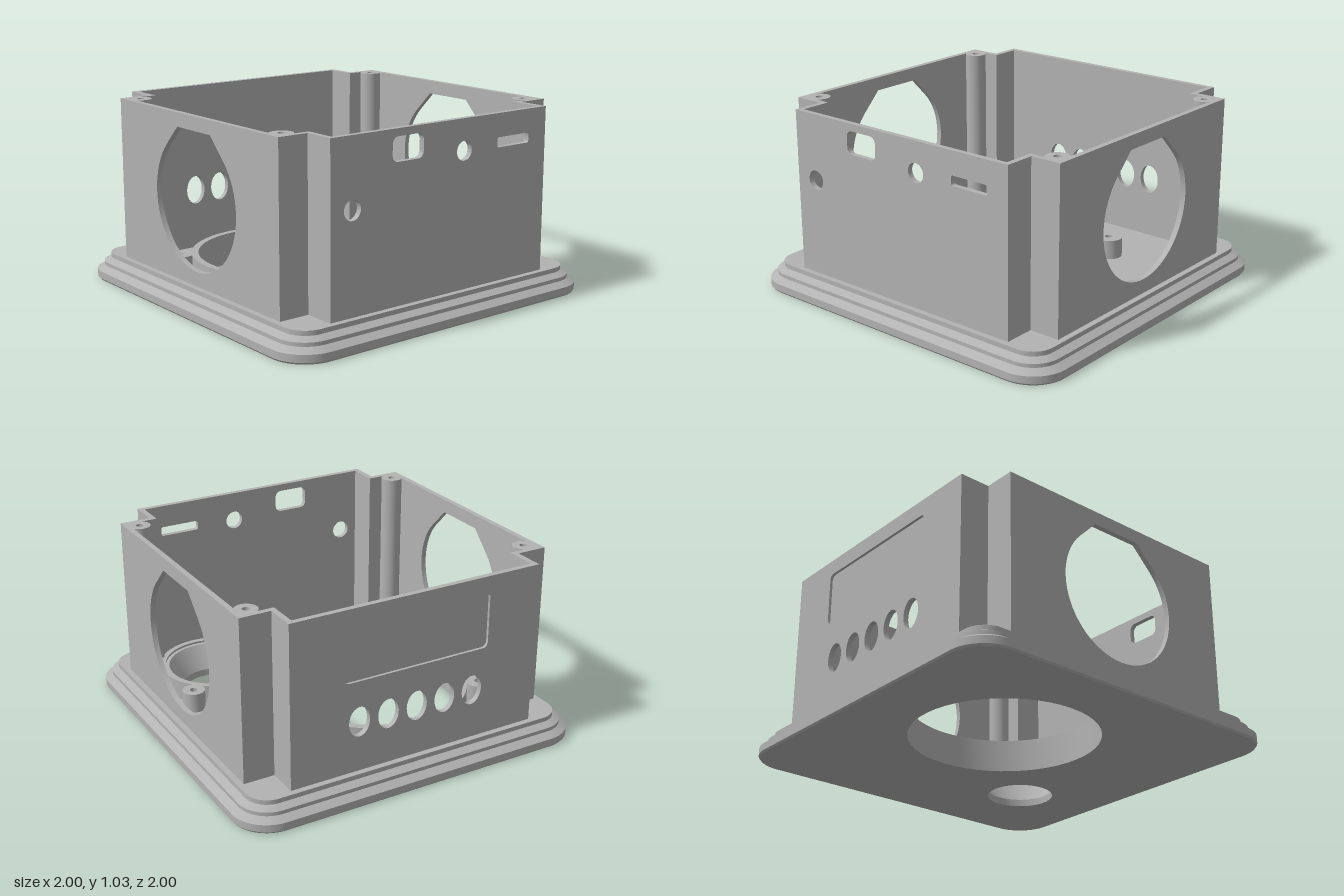
import * as THREE from 'three';
import { toCreasedNormals } from 'three/addons/utils/BufferGeometryUtils.js';

const FLOOR = 0.07, DECK = 0.14, TOP = 1.03, RING = 0.18;
const OUT = 0.89, IN = 0.86, NOTCH = 0.72, NOTCH_IN = 0.69;
const BIG = { x: -0.18, z: -0.155, r: 0.503 };
const SMALL = { x: 0.455, z: 0.5, r: 0.185 };

// Rounded rectangle centred on (cx, cy); also works as a hole
function roundedRect(cx, cy, w, h, r, Type = THREE.Path) {
  const p = new Type(), x = w / 2 - r, y = h / 2 - r, q = Math.PI / 2;
  p.absarc(cx + x, cy - y, r, -q, 0);
  p.absarc(cx + x, cy + y, r, 0, q);
  p.absarc(cx - x, cy + y, r, q, 2 * q);
  p.absarc(cx - x, cy - y, r, 2 * q, 3 * q);
  p.closePath();
  return p;
}

function ellipse(cx, cy, rx, ry = rx) {
  return new THREE.Path().absellipse(cx, cy, rx, ry, 0, Math.PI * 2);
}

const square = (half, r) => roundedRect(0, 0, half * 2, half * 2, r, THREE.Shape);

// Stepped side of the plinth, lofted through rounded squares of [half size, y]
function loftSkin(levels) {
  const pos = [], index = [];
  const rings = levels.map(([half]) => square(half, 0.2 - (1 - half)).getPoints(10));
  const n = rings[0].length;
  rings.forEach((ring, k) => ring.forEach(p => pos.push(p.x, levels[k][1], -p.y)));
  for (let k = 0; k < rings.length - 1; k++) {
    for (let i = 0; i < n; i++) {
      const a = k * n + i, b = k * n + (i + 1) % n;
      index.push(a, b, b + n, a, b + n, a + n);
    }
  }
  const g = new THREE.BufferGeometry();
  g.setAttribute('position', new THREE.Float32BufferAttribute(pos, 3));
  g.setIndex(index);
  return toCreasedNormals(g, 0.4);
}

function lathe(points, segments = 48) {
  const g = new THREE.LatheGeometry(points.map(p => new THREE.Vector2(...p)), segments);
  return toCreasedNormals(g, 0.4);
}

export function createModel() {
  const model = new THREE.Group();
  model.name = 'enclosure';
  const grey = new THREE.MeshStandardMaterial({ color: 0xb2b2b2 });
  grey.name = 'grey plastic';

  function add(name, geometry, x = 0, y = 0, z = 0, parent = model) {
    const mesh = new THREE.Mesh(geometry, grey);
    mesh.name = name;
    mesh.position.set(x, y, z);
    parent.add(mesh);
    return mesh;
  }

  // Plinth: stepped skin, underside, inner floor and outer ledge
  add('plinthSide', loftSkin([[0.992, 0], [1, 0.01], [1, 0.05], [0.96, 0.075],
    [0.96, 0.095], [0.922, 0.115], [0.922, DECK]]));

  const under = square(0.992, 0.192);
  under.holes.push(ellipse(BIG.x, BIG.z, BIG.r), ellipse(SMALL.x, SMALL.z, SMALL.r));
  add('underside', new THREE.ShapeGeometry(under, 24).rotateX(Math.PI / 2));

  const floor = square(0.9, 0.1);
  floor.holes.push(ellipse(BIG.x, -BIG.z, BIG.r), ellipse(SMALL.x, -SMALL.z, 0.3));
  add('floor', new THREE.ShapeGeometry(floor, 24).rotateX(-Math.PI / 2), 0, FLOOR, 0);

  const ledge = square(0.922, 0.122);
  const cross = [];
  for (const [sx, sy] of [[1, 1], [-1, 1], [-1, -1], [1, -1]]) {
    const corner = [[OUT, NOTCH], [NOTCH, NOTCH], [NOTCH, OUT]];
    if (sx * sy < 0) corner.reverse();
    corner.forEach(([x, y]) => cross.push(new THREE.Vector2(x * sx, y * sy)));
  }
  ledge.holes.push(new THREE.Path(cross));
  add('ledge', new THREE.ShapeGeometry(ledge, 12).rotateX(-Math.PI / 2), 0, DECK, 0);

  // Walls: each panel is drawn facing +z, then turned into place
  function wall(name, angle, holes, depth = OUT - IN, z = IN) {
    const shape = new THREE.Shape([[-NOTCH, FLOOR], [NOTCH, FLOOR], [NOTCH, TOP], [-NOTCH, TOP]]
      .map(p => new THREE.Vector2(...p)));
    shape.holes.push(...holes);
    const g = new THREE.ExtrudeGeometry(shape, { depth, bevelEnabled: false, curveSegments: 24 });
    g.translate(0, 0, z).rotateY(angle);
    add(name, toCreasedNormals(g, 0.4));
  }

  wall('frontWall', 0, [
    roundedRect(-0.24, 0.928, 0.2, 0.125, 0.035),
    ellipse(0.135, 0.865, 0.051),
    roundedRect(0.482, 0.878, 0.228, 0.053, 0.012),
    ellipse(-0.587, 0.67, 0.052),
  ]);

  // Round side opening with a clipped, tapering top
  function sideOpening() {
    const p = new THREE.Path();
    p.absarc(0, 0.586, 0.367, Math.PI * 0.75, Math.PI * 2.25);
    p.lineTo(0.15, 0.955);
    p.lineTo(-0.15, 0.955);
    p.closePath();
    return p;
  }
  wall('leftWall', Math.PI / 2, [sideOpening()]);
  wall('rightWall', -Math.PI / 2, [sideOpening()]);

  // Back wall in two layers, so the panel area is recessed
  const buttons = () => [-2, -1, 0, 1, 2].map(i => ellipse(i * 0.167, 0.415, 0.06, 0.082));
  wall('backWallInner', Math.PI, buttons(), 0.015, IN);
  wall('backWallOuter', Math.PI,
    [...buttons(), roundedRect(0, 0.79, 0.845, 0.305, 0.03)], 0.015, IN + 0.015);

  // Upright screw post with a blind hole
  function post(name, x, z, r, hole, top, depth) {
    add(name, lathe([[r, FLOOR], [r, top], [hole, top], [hole, top - depth], [0, top - depth]], 28),
      x, 0, z);
  }

  // Notched corners with their screw posts
  const h = TOP - FLOOR, mid = (TOP + FLOOR) / 2;
  const span = IN - NOTCH_IN, t = NOTCH - NOTCH_IN;
  for (const sx of [-1, 1]) {
    for (const sz of [-1, 1]) {
      add('cornerWall', new THREE.BoxGeometry(t, h, span),
        sx * (NOTCH + NOTCH_IN) / 2, mid, sz * (IN + NOTCH_IN) / 2);
      add('cornerWall', new THREE.BoxGeometry(IN - NOTCH, h, t),
        sx * (IN + NOTCH) / 2, mid, sz * (NOTCH + NOTCH_IN) / 2);
      post('cornerPost', sx * 0.812, sz * 0.64, 0.06, 0.02, TOP, 0.2);
      add('cornerFillet', new THREE.BoxGeometry(0.025, h, 0.025), sx * 0.8475, mid, sz * 0.6775);
    }
  }

  // Large round opening and its mounting posts
  add('largeRing', lathe([[0.541, FLOOR], [0.541, RING], [BIG.r, RING], [BIG.r, 0]], 72),
    BIG.x, 0, BIG.z);
  for (const [x, z] of [[-0.705, -0.458], [0.342, -0.458], [-0.18, 0.448]]) {
    post('largeRingPost', x, z, 0.075, 0.022, RING, 0.1);
  }

  // Small funnel opening and its mounting posts
  add('funnelRing', lathe([[0.315, FLOOR], [0.315, RING], [0.285, RING], [0.285, RING - 0.012],
    [0.265, RING - 0.012], [SMALL.r, 0.04], [SMALL.r, 0]], 56), SMALL.x, 0, SMALL.z);
  for (const [x, z] of [[0.715, 0.236], [0.197, 0.757]]) {
    post('funnelPost', x, z, 0.062, 0.021, RING, 0.1);
  }
  return model;
}
